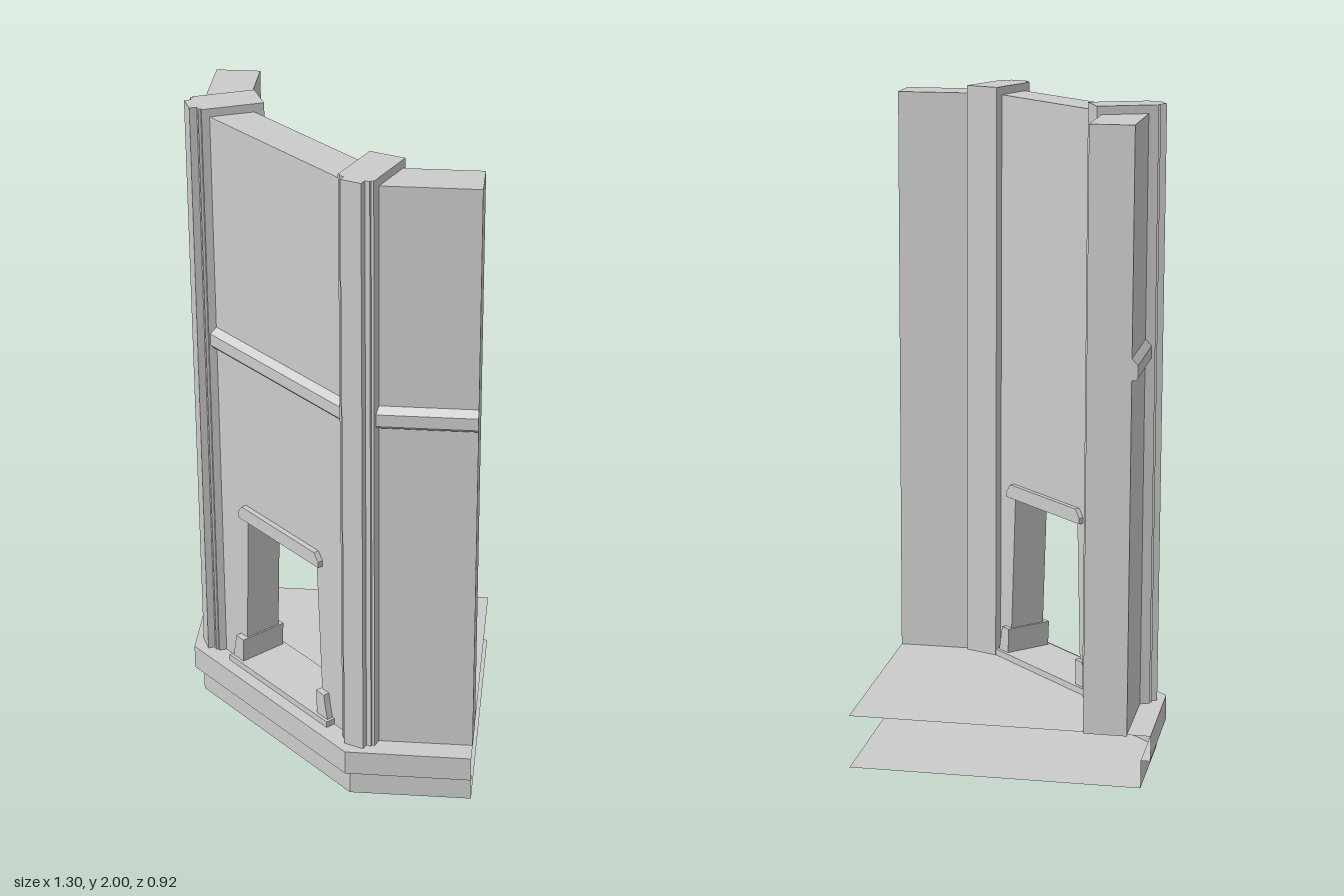
import * as THREE from 'three';

const solid = new THREE.MeshStandardMaterial({ color: 0xcccccc, flatShading: true });
const thin = new THREE.MeshStandardMaterial({ color: 0xcccccc, flatShading: true, side: THREE.DoubleSide });

const FLOOR = 0.165, WALL_TOP = 1.975;

function add(group, name, geometry, material = solid) {
  const mesh = new THREE.Mesh(geometry, material);
  mesh.name = name;
  group.add(mesh);
  return mesh;
}

const shapeOf = (pts) => new THREE.Shape(pts.map(([x, y]) => new THREE.Vector2(x, y)));

// Upright prism from a plan outline given as [x, z]
function prism(plan, y0, y1) {
  const g = new THREE.ExtrudeGeometry(shapeOf(plan), { depth: y1 - y0, bevelEnabled: false });
  return g.rotateX(Math.PI / 2).translate(0, y1, 0);
}

// Front-facing outline given as [x, y], running from z0 to z1
function slab(outline, z0, z1) {
  const g = new THREE.ExtrudeGeometry(shapeOf(outline), { depth: z1 - z0, bevelEnabled: false });
  return g.translate(0, 0, z0);
}

// Flat horizontal sheet from a plan outline
function sheet(plan, y) {
  return new THREE.ShapeGeometry(shapeOf(plan)).rotateX(Math.PI / 2).translate(0, y, 0);
}

// Surface through a list of equally long rows of points
function loft(rows) {
  const pos = [];
  for (let i = 0; i < rows.length - 1; i++) {
    for (let j = 0; j < rows[i].length - 1; j++) {
      const a = rows[i][j], b = rows[i][j + 1], c = rows[i + 1][j], d = rows[i + 1][j + 1];
      pos.push(...a, ...c, ...b, ...b, ...c, ...d);
    }
  }
  const g = new THREE.BufferGeometry();
  g.setAttribute('position', new THREE.Float32BufferAttribute(pos, 3));
  g.computeVertexNormals();
  return g;
}

const mirrorPlan = (pts) => pts.map(([x, z]) => [-x, z]);

export function createModel() {
  const model = new THREE.Group();
  model.name = 'cornerTowerWall';

  // Stepped base: three faces in front, open at the back
  const upper = [[-0.65, 0.19], [-0.38, 0.457], [0.38, 0.457], [0.65, 0.19]];
  const lower = [[-0.63, 0.17], [-0.37, 0.43], [0.37, 0.43], [0.63, 0.17]];
  const at = (plan, y) => plan.map(([x, z]) => [x, y, z]);
  add(model, 'baseRim', loft([at(upper, FLOOR), at(upper, 0.087), at(lower, 0.087), at(lower, 0)]), thin);
  add(model, 'floor', sheet([...upper, [0, -0.46]], FLOOR), thin);
  add(model, 'baseUnderside', sheet([...lower, [0, -0.46]], 0), thin);

  // Front wall with a tapered doorway
  add(model, 'frontWall', slab([
    [-0.33, FLOOR], [-0.192, FLOOR], [-0.168, 0.705], [0.168, 0.705], [0.192, FLOOR],
    [0.33, FLOOR], [0.33, WALL_TOP], [-0.33, WALL_TOP],
  ], 0.265, 0.388));

  // Doorway trim
  add(model, 'doorSill', slab([[-0.245, FLOOR], [0.245, FLOOR], [0.245, 0.185], [-0.245, 0.185]], 0.24, 0.418));
  add(model, 'doorLintel', slab([
    [-0.197, 0.703], [0.197, 0.703], [0.197, 0.722], [0.177, 0.747], [-0.177, 0.747], [-0.197, 0.722],
  ], 0.25, 0.405));

  // Moulding profile: [how far it stands out, y]
  const profile = [[-0.02, 1.24], [0.012, 1.24], [0.018, 1.248], [0.018, 1.285], [0, 1.305], [-0.02, 1.305]];
  add(model, 'frontMoulding', loft(profile.map(([o, y]) => [-0.32, 0.32].map((x) => [x, y, 0.388 + o])).reverse()), thin);

  for (const s of [1, -1]) {
    const side = new THREE.Group();
    side.name = s > 0 ? 'leftSide' : 'rightSide';
    model.add(side);
    const plan = (pts) => (s > 0 ? pts : mirrorPlan(pts));

    // Diagonal wall
    add(side, 'sideWall', prism(plan([[0.6, 0.14], [0.507, 0.047], [0.3, 0.255], [0.35, 0.39]]), FLOOR - 0.005, WALL_TOP));

    // Moulding on the diagonal wall, with a closed outer end
    const k = Math.SQRT1_2;
    const rows = profile.map(([o, y]) => [[0.36, 0.38], [0.6, 0.14]].map(([x, z]) => [s * (x + o * k), y, z + o * k]));
    add(side, 'sideMoulding', loft(s > 0 ? rows : rows.reverse()), thin);
    const ends = rows.map((r) => r[1]);
    add(side, 'mouldingEnd', loft([ends.slice(0, 3), ends.slice(3).reverse()]), thin);

    // Corner pillar turned to halve the angle, with a narrower front rib
    const along = [0.383, 0.924], across = [-0.924, 0.383];
    const outline = [
      [0, -0.055], [0.186, -0.055], [0.186, -0.047], [0.194, -0.047], [0.194, -0.032], [0.216, -0.032],
      [0.216, 0.032], [0.194, 0.032], [0.194, 0.047], [0.186, 0.047], [0.186, 0.055], [0, 0.055],
    ].map(([d, t]) => [0.29 + d * along[0] + t * across[0], 0.217 + d * along[1] + t * across[1]]);
    add(side, 'cornerPillar', prism(plan(outline), FLOOR, 2));

    // Foot block of the door jamb
    const foot = [[0.186, 0.185], [0.236, 0.185], [0.225, 0.235], [0.22, 0.265], [0.182, 0.265]];
    add(side, 'jambFoot', slab(plan(foot), 0.25, 0.408));
  }
  return model;
}
